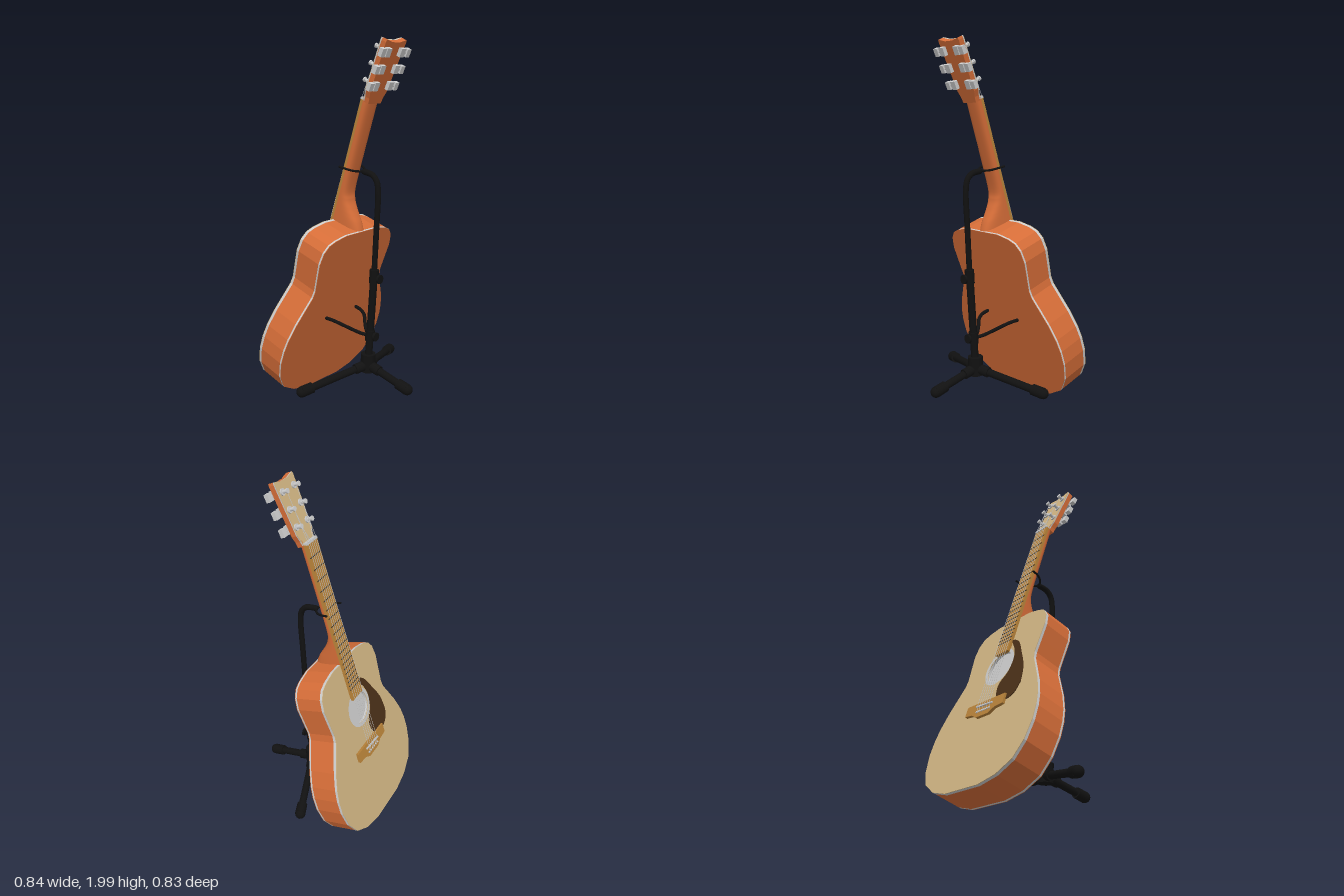
import * as THREE from 'three';
import { ParametricGeometry } from 'three/addons/geometries/ParametricGeometry.js';

const mat = (color) => new THREE.MeshStandardMaterial({ color });
const WOOD = mat(0xd56d38), TOP = mat(0xd0b482), GOLD = mat(0xb9833a), DARK = mat(0x4a3018);
const BLACK = mat(0x111111), FRET = mat(0x4a4030), GREY = mat(0xcccccc);
const V2 = (x, y) => new THREE.Vector2(x, y);
const V3 = (p) => new THREE.Vector3(...p);

function add(parent, name, geometry, material, pos = [0, 0, 0]) {
  const m = new THREE.Mesh(geometry, material);
  m.name = name;
  m.position.set(...pos);
  parent.add(m);
  return m;
}
const box = (parent, name, size, pos, material) => add(parent, name, new THREE.BoxGeometry(...size), material, pos);

// Flat plate from an outline, between two depths
function plate(parent, name, pts, z0, z1, material, hole) {
  const shape = new THREE.Shape(pts);
  if (hole) shape.holes.push(new THREE.Path().absarc(hole.x, hole.y, hole.r, 0, Math.PI * 2, true));
  const g = new THREE.ExtrudeGeometry(shape, { depth: z1 - z0, bevelEnabled: false, curveSegments: 20 });
  return add(parent, name, g, material, [0, 0, z0]);
}
// Round bar between two points
function rod(parent, name, a, b, r, material, sides = 16, r2 = r) {
  const p = V3(a), q = V3(b), d = q.clone().sub(p);
  const m = add(parent, name, new THREE.CylinderGeometry(r2, r, d.length(), sides), material);
  m.position.copy(p).add(q).multiplyScalar(0.5);
  m.quaternion.setFromUnitVectors(new THREE.Vector3(0, 1, 0), d.normalize());
  return m;
}
function tube(parent, name, pts, r, material) {
  const curve = new THREE.CatmullRomCurve3(pts.map(V3));
  add(parent, name, new THREE.TubeGeometry(curve, 32, r, 10), material);
  for (const p of [pts[0], pts[pts.length - 1]]) add(parent, name + 'End', new THREE.SphereGeometry(r, 10, 8), material, p);
}
const mirror = (half) => [...half.map(([x, y]) => V2(x, y)), ...half.slice().reverse().map(([x, y]) => V2(-x, y))];

// Guitar frame: y runs along the neck, -z faces out of the soundboard
function buildBody(g) {
  const outline = mirror([[0.13, 0], [0.25, 0.028], [0.345, 0.085], [0.395, 0.17], [0.416, 0.27], [0.414, 0.35],
    [0.4, 0.42], [0.365, 0.51], [0.32, 0.595], [0.285, 0.66], [0.278, 0.7], [0.287, 0.78], [0.297, 0.87],
    [0.285, 0.935], [0.255, 0.975], [0.21, 0.995], [0.13, 1.012]]);
  const hole = { x: 0, y: 0.7, r: 0.093 };
  plate(g, 'soundboard', outline, 0, 0.003, TOP, hole);
  plate(g, 'frontBinding', outline, 0.003, 0.017, GREY, hole);
  plate(g, 'bodySides', outline, 0.017, 0.167, WOOD);
  plate(g, 'backBinding', outline, 0.167, 0.177, GREY);
  plate(g, 'back', outline, 0.177, 0.18, WOOD);
  const floor = add(g, 'soundHoleFloor', new THREE.CircleGeometry(0.095, 40), GREY, [0, 0.7, 0.0165]);
  floor.rotation.y = Math.PI;
  const ring = add(g, 'rosette', new THREE.RingGeometry(0.092, 0.112, 40), GREY, [0, 0.7, -0.002]);
  ring.rotation.y = Math.PI;

  const guard = new THREE.SplineCurve([[-0.237, 0.53], [-0.21, 0.475], [-0.155, 0.453], [-0.076, 0.475], [-0.05, 0.53],
    [-0.056, 0.58], [-0.098, 0.63], [-0.115, 0.7], [-0.1, 0.77], [-0.05, 0.85], [-0.11, 0.825], [-0.166, 0.735],
    [-0.22, 0.63], [-0.237, 0.53]].map(([x, y]) => V2(x, y)));
  plate(g, 'pickguard', guard.getPoints(52).slice(0, -1), -0.004, 0, DARK);

  plate(g, 'bridge', mirror([[0.05, 0.395], [0.09, 0.418], [0.153, 0.425], [0.153, 0.482]]), -0.015, 0, GOLD);
  const saddle = box(g, 'saddle', [0.135, 0.008, 0.008], [0, 0.455, -0.018], GREY);
  saddle.rotation.z = 0.06;
}

function buildNeck(g) {
  // Heel and neck: half-round section whose depth follows a curve
  const depth = new THREE.SplineCurve([[0.99, 0.18], [1.012, 0.172], [1.05, 0.145], [1.08, 0.115], [1.11, 0.085],
    [1.15, 0.054], [1.21, 0.035], [1.4, 0.031], [1.735, 0.03]].map(([x, y]) => V2(x, y)));
  const neck = new ParametricGeometry((u, t, out) => {
    const p = depth.getPoint(t), a = u * Math.PI;
    out.set(0.053 * Math.sign(Math.cos(a)) * Math.abs(Math.cos(a)) ** 0.7, p.x, p.y * Math.sin(a) ** 0.7);
  }, 20, 40);
  const wood = WOOD.clone();
  wood.side = THREE.DoubleSide;
  add(g, 'neck', neck, wood);

  box(g, 'fingerboard', [0.106, 0.925, 0.016], [0, 1.2425, -0.008], GOLD);
  box(g, 'nut', [0.1, 0.012, 0.022], [0, 1.71, -0.01], GREY);
  for (let i = 1; i <= 20; i++) {
    const y = 0.455 + 1.25 * 2 ** (-i / 12);
    if (y > 0.79) box(g, 'fret', [0.106, 0.005, 0.003], [0, y, -0.017], FRET);
  }
}

function buildHeadstock(g) {
  const head = new THREE.Group();
  head.name = 'headstock';
  head.position.set(0, 1.7, 0);
  head.rotation.x = 0.105;
  g.add(head);
  const half = [[0.052, 0], [0.056, 0.03], [0.068, 0.065], [0.083, 0.335], [0.08, 0.348], [0.06, 0.344], [0.03, 0.336]];
  const outline = mirror(half);
  plate(head, 'headstockCore', outline, 0.008, 0.038, WOOD);
  plate(head, 'headstockBinding', outline, 0.002, 0.008, GREY);
  plate(head, 'headstockFace', outline, 0, 0.002, TOP);

  // Tuning machines and strings
  for (const side of [-1, 1]) for (let i = 0; i < 3; i++) {
    const y = 0.105 + i * 0.0915, x = side * 0.051;
    rod(head, 'tunerBushing', [x, y, 0], [x, y, -0.008], 0.018, GREY, 12);
    rod(head, 'tunerPost', [x, y, 0], [x, y, -0.035], 0.009, GREY, 12);
    rod(head, 'tunerPostCap', [x, y, -0.029], [x, y, -0.037], 0.013, GREY, 12);
    box(head, 'tunerHousing', [0.036, 0.045, 0.022], [side * 0.058, y, 0.048], GREY);
    rod(head, 'tunerShaft', [side * 0.06, y, 0.05], [side * 0.095, y, 0.05], 0.006, GREY, 8);
    box(head, 'tunerButton', [0.03, 0.042, 0.024], [side * 0.102, y, 0.05], GREY);

    const k = side * (i + 0.5);
    const nut = [k * 0.0155, 1.71, -0.022], saddle = [k * 0.02, 0.455, -0.024];
    head.updateMatrix();
    const post = V3([x - side * 0.009, y, -0.022]).applyMatrix4(head.matrix).toArray();
    rod(g, 'string', saddle, nut, 0.0013, GREY, 5);
    rod(g, 'stringEnd', nut, post, 0.0013, GREY, 5);
    rod(g, 'stringTail', [k * 0.02, 0.425, -0.014], saddle, 0.0013, GREY, 5);
    rod(g, 'bridgePin', [k * 0.02, 0.425, -0.012], [k * 0.02, 0.425, -0.021], 0.006, GREY, 8);
  }
}

function buildStand(s) {
  const hub = [0, 0.2, 0.112];
  rod(s, 'hub', [0, 0.16, 0.11], [0, 0.265, 0.114], 0.042, BLACK);
  rod(s, 'lowerPole', hub, [0, 0.74, 0.152], 0.021, BLACK);
  rod(s, 'poleCollar', [0, 0.69, 0.149], [0, 0.765, 0.154], 0.026, BLACK);
  rod(s, 'armCollar', [0, 0.345, 0.122], [0, 0.41, 0.128], 0.026, BLACK);
  tube(s, 'upperPole', [[0, 0.74, 0.152], [0, 1, 0.166], [0, 1.2, 0.175], [0, 1.255, 0.165], [0, 1.286, 0.135],
    [0, 1.297, 0.08]], 0.016, BLACK);

  // Clamp knobs
  for (const [y, z] of [[0.717, 0.15], [0.377, 0.125]]) {
    rod(s, 'knobStem', [0, y, z], [0, y, z + 0.04], 0.01, BLACK);
    rod(s, 'knob', [0, y, z + 0.034], [0, y, z + 0.047], 0.025, BLACK);
  }

  // Neck yoke
  tube(s, 'yoke', [[-0.075, 1.322, -0.03], [-0.069, 1.314, 0.005], [-0.045, 1.303, 0.045], [0, 1.299, 0.07],
    [0.045, 1.303, 0.045], [0.069, 1.314, 0.005], [0.075, 1.322, -0.03]], 0.006, BLACK);

  for (const side of [-1, 1]) {
    tube(s, 'bodyArm', [[0, 0.375, 0.125], [side * 0.025, 0.385, 0.08], [side * 0.06, 0.41, 0.04],
      [side * 0.1, 0.44, 0.0], [side * 0.118, 0.456, -0.04], [side * 0.127, 0.463, -0.085]], 0.01, BLACK);
  }

  // Legs with rubber feet
  for (const end of [[-0.39, 0.128, -0.032], [0.39, 0.128, -0.032], [0, 0.128, 0.388]]) {
    const a = V3(hub), b = V3(end);
    const at = (t) => a.clone().lerp(b, t).toArray();
    const len = a.distanceTo(b);
    rod(s, 'legSocket', at(0), at(0.085 / len), 0.029, BLACK);
    rod(s, 'leg', hub, end, 0.021, BLACK);
    rod(s, 'foot', at(1 - 0.065 / len), end, 0.03, BLACK, 16, 0.031);
    add(s, 'footTip', new THREE.SphereGeometry(0.03, 16, 10), BLACK, end);
  }
}

export function createModel() {
  const model = new THREE.Group();
  model.name = 'guitarOnStand';
  const guitar = new THREE.Group();
  guitar.name = 'guitar';
  guitar.position.set(0, 0.058, -0.414);
  guitar.rotation.x = THREE.MathUtils.degToRad(18);
  buildBody(guitar);
  buildNeck(guitar);
  buildHeadstock(guitar);
  const stand = new THREE.Group();
  stand.name = 'stand';
  buildStand(stand);
  model.add(guitar, stand);
  return model;
}
